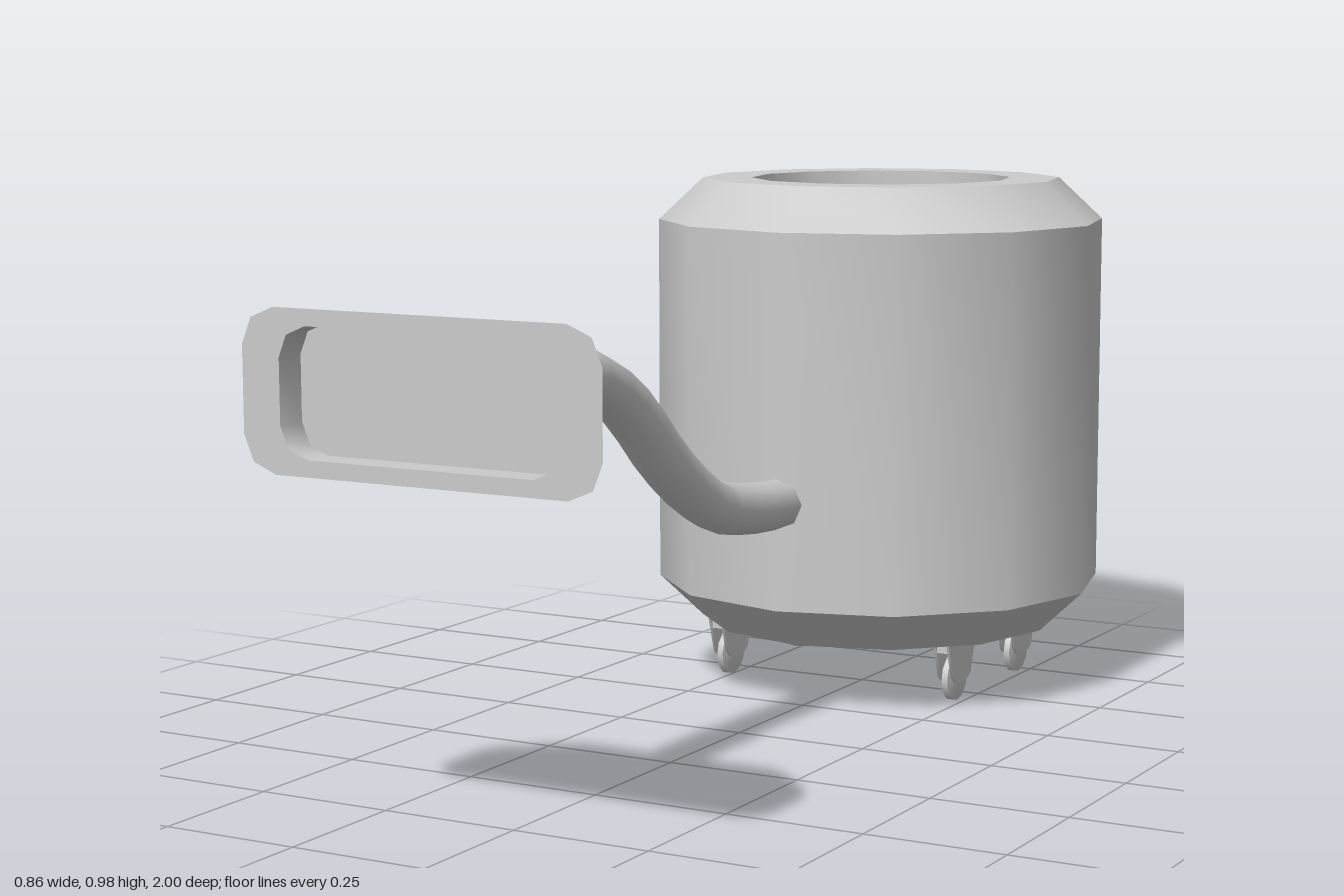
import * as THREE from 'three';
import { toCreasedNormals } from 'three/addons/utils/BufferGeometryUtils.js';

const material = new THREE.MeshStandardMaterial({ color: 0xcccccc });
const BODY_Z = -0.57;
const PIPE_Y = 0.72;

function part(name, geometry, crease = 0.7) {
  const mesh = new THREE.Mesh(toCreasedNormals(geometry, crease), material);
  mesh.name = name;
  return mesh;
}

// Rounded rectangle ring, counter-clockwise seen from +z
function roundedRing(hx, hy, r, z) {
  const ring = [];
  [[1, 1], [-1, 1], [-1, -1], [1, -1]].forEach(([sx, sy], corner) => {
    for (let k = 0; k < 3; k++) {
      const a = (corner + k / 2) * Math.PI / 2;
      ring.push([sx * (hx - r) + r * Math.cos(a), sy * (hy - r) + r * Math.sin(a), z]);
    }
  });
  return ring;
}

// Skin through rings; the first and last rings are collapsed to points
function loft(rings) {
  const positions = [];
  const n = rings[0].length;
  for (let i = 0; i < rings.length - 1; i++) {
    for (let j = 0; j < n; j++) {
      const k = (j + 1) % n;
      const a = rings[i][j], b = rings[i][k], c = rings[i + 1][k], d = rings[i + 1][j];
      if (i > 0) positions.push(...a, ...b, ...c);
      if (i < rings.length - 2) positions.push(...a, ...c, ...d);
      if (i === 0) continue;
    }
  }
  const geometry = new THREE.BufferGeometry();
  geometry.setAttribute('position', new THREE.Float32BufferAttribute(positions, 3));
  return geometry;
}

// Wheel between two tapered fork arms below a small mounting block
function createCaster(x, z) {
  const caster = new THREE.Group();
  caster.name = 'caster';
  const armShape = new THREE.Shape([
    [-0.064, 0.125], [-0.04, 0.05], [-0.025, 0.04], [0.025, 0.04], [0.04, 0.05], [0.064, 0.125],
  ].map(([u, v]) => new THREE.Vector2(u, v)));
  for (const side of [-1, 1]) {
    const arm = new THREE.ExtrudeGeometry(armShape, { depth: 0.005, bevelEnabled: false });
    arm.translate(0, 0, -0.0025).rotateY(Math.PI / 2).translate(side * 0.0135, 0, 0);
    caster.add(part('forkArm', arm));
  }
  const mount = new THREE.BoxGeometry(0.03, 0.025, 0.11);
  caster.add(part('casterMount', mount.translate(0, 0.1125, 0)));
  const wheel = new THREE.LatheGeometry([
    [0, -0.011], [0.027, -0.011], [0.038, -0.007], [0.045, -0.006],
    [0.045, 0.006], [0.038, 0.007], [0.027, 0.011], [0, 0.011],
  ].map(([r, y]) => new THREE.Vector2(r, y)), 12);
  caster.add(part('wheel', wheel.rotateZ(Math.PI / 2).translate(0, 0.045, 0)));
  caster.position.set(x, 0, z);
  return caster;
}

export function createModel() {
  const model = new THREE.Group();
  model.name = 'vacuumCleaner';

  // Twelve-sided drum with chamfered rims and a stepped recess in the top
  const profile = [
    [0, 0.12], [0.345, 0.12], [0.43, 0.2], [0.43, 0.9], [0.345, 0.98],
    [0.25, 0.98], [0.25, 0.88], [0.167, 0.88], [0.167, 0.78], [0, 0.78],
  ].map(([r, y]) => new THREE.Vector2(r, y));
  const drum = part('drum', new THREE.LatheGeometry(profile, 12));
  drum.position.z = BODY_Z;
  model.add(drum);

  // S-shaped hose
  const path = new THREE.CatmullRomCurve3([
    [0.4, -0.2], [0.4, -0.14], [0.41, -0.015], [0.437, 0.11], [0.525, 0.255],
    [0.642, 0.39], [0.703, 0.5], [PIPE_Y, 0.6], [PIPE_Y, 0.64],
  ].map(([y, z]) => new THREE.Vector3(0, y, z)));
  const hose = new THREE.Mesh(new THREE.TubeGeometry(path, 14, 0.047, 8), material);
  hose.name = 'hose';
  model.add(hose);

  // Sleeve joining the hose to the nozzle, with a hexagonal button
  const sleeve = new THREE.CylinderGeometry(0.055, 0.055, 0.28, 8);
  model.add(part('sleeve', sleeve.rotateX(Math.PI / 2).translate(0, PIPE_Y, 0.74), 0.9));
  const button = new THREE.CylinderGeometry(0.032, 0.032, 0.05, 6);
  model.add(part('button', button.translate(0, 0.767, 0.72)));

  // Flared nozzle with a shallow recessed mouth
  const nozzle = part('nozzle', loft([
    roundedRing(0, 0, 0, 0.86),
    roundedRing(0.055, 0.05, 0.025, 0.86),
    roundedRing(0.23, 0.09, 0.045, 0.885),
    roundedRing(0.325, 0.13, 0.06, 1),
    roundedRing(0.255, 0.103, 0.05, 1),
    roundedRing(0.255, 0.103, 0.05, 0.945),
    roundedRing(0, 0, 0, 0.945),
  ]), 0.9);
  nozzle.position.y = PIPE_Y;
  model.add(nozzle);

  // Four casters under the drum
  for (const x of [-0.255, 0.231]) {
    for (const z of [-0.43, -0.72]) model.add(createCaster(x, z));
  }
  return model;
}
